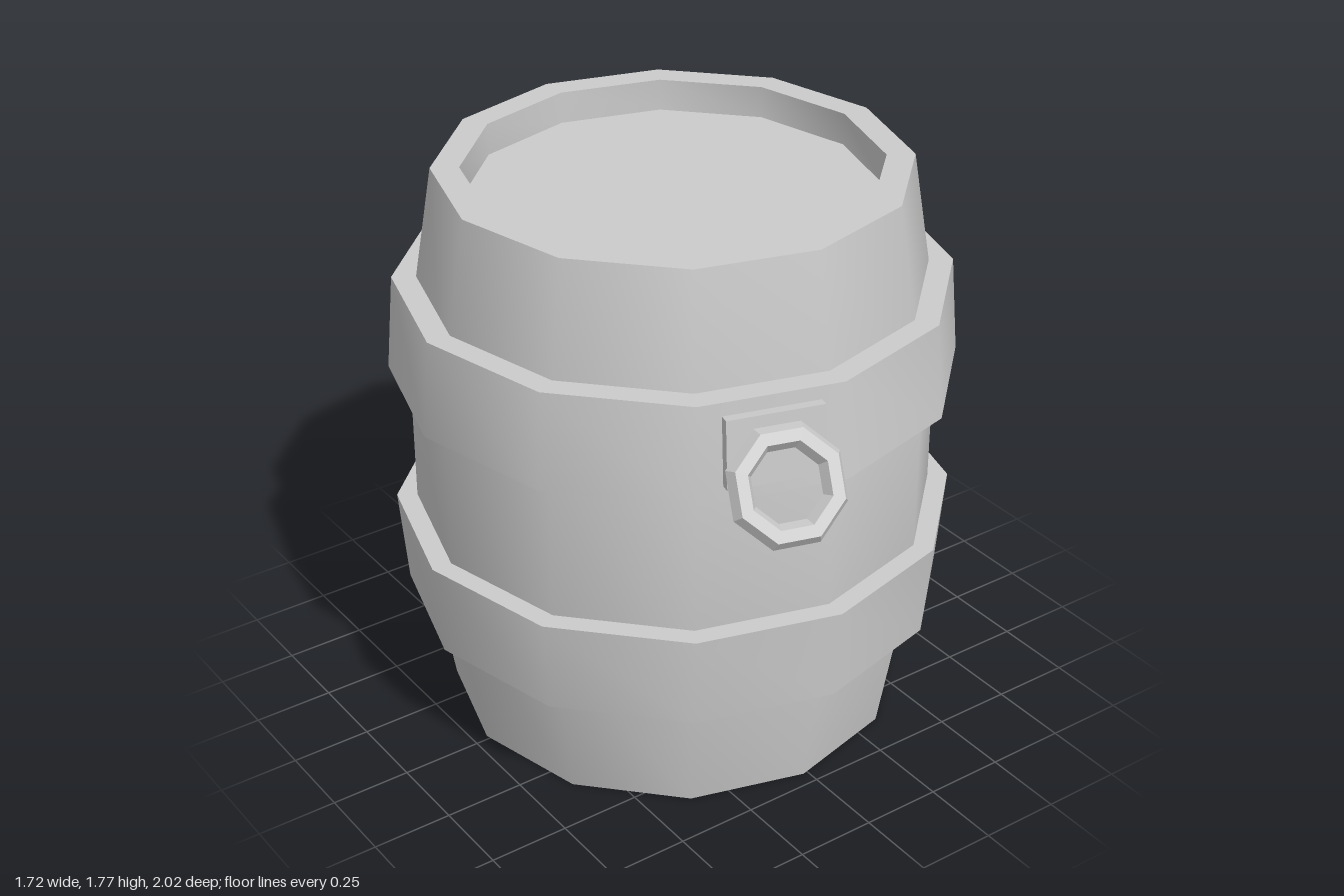
import * as THREE from 'three';
import { toCreasedNormals } from 'three/addons/utils/BufferGeometryUtils.js';

const SIDES = 12;
const TWIST = -0.021; // slight turn of the whole barrel about its axis
const grey = new THREE.MeshStandardMaterial({ color: 0xcccccc });

function addMesh(parent, name, geometry) {
  const mesh = new THREE.Mesh(toCreasedNormals(geometry, 0.56), grey);
  mesh.name = name;
  parent.add(mesh);
  return mesh;
}

// Twelve-sided turned part from [radius, height] pairs
function turned(profile) {
  return new THREE.LatheGeometry(profile.map(([r, y]) => new THREE.Vector2(r, y)), SIDES);
}

// Mounting plate with a hanging ring, facing local +z
function makeHandle(name) {
  const handle = new THREE.Group();
  handle.name = name;

  const plate = addMesh(handle, 'handlePlate', new THREE.BoxGeometry(0.29, 0.21, 0.06));
  plate.position.set(0, 1.285, 0.82);
  plate.rotation.x = -0.08;

  const ringShape = new THREE.TorusGeometry(0.143, 0.037, 6, 8).rotateZ(Math.PI / 8);
  const ring = addMesh(handle, 'handleRing', ringShape);
  ring.position.set(0, 1.213, 0.93);
  ring.rotation.x = -0.52;
  return handle;
}

export function createModel() {
  const barrel = new THREE.Group();
  barrel.name = 'barrel';
  barrel.rotation.y = TWIST;

  // Body with recessed lids at both ends
  addMesh(barrel, 'body', turned([
    [0, 0.1], [0.62, 0.1], [0.62, 0], [0.705, 0], [0.797, 0.56],
    [0.797, 1.215], [0.705, 1.775], [0.62, 1.775], [0.62, 1.675], [0, 1.675],
  ]));

  // Hoops, wider towards the middle of the barrel
  addMesh(barrel, 'lowerHoop', turned([[0.74, 0.38], [0.835, 0.38], [0.86, 0.678], [0.74, 0.678]]));
  addMesh(barrel, 'upperHoop', turned([[0.74, 1.132], [0.86, 1.132], [0.835, 1.43], [0.74, 1.43]]));

  // Handles centred on two opposite facets
  ['frontHandle', 'backHandle'].forEach((name, i) => {
    const handle = makeHandle(name);
    handle.rotation.y = -Math.PI / SIDES + i * Math.PI;
    barrel.add(handle);
  });

  const model = new THREE.Group();
  model.name = 'barrelModel';
  model.add(barrel);
  return model;
}
